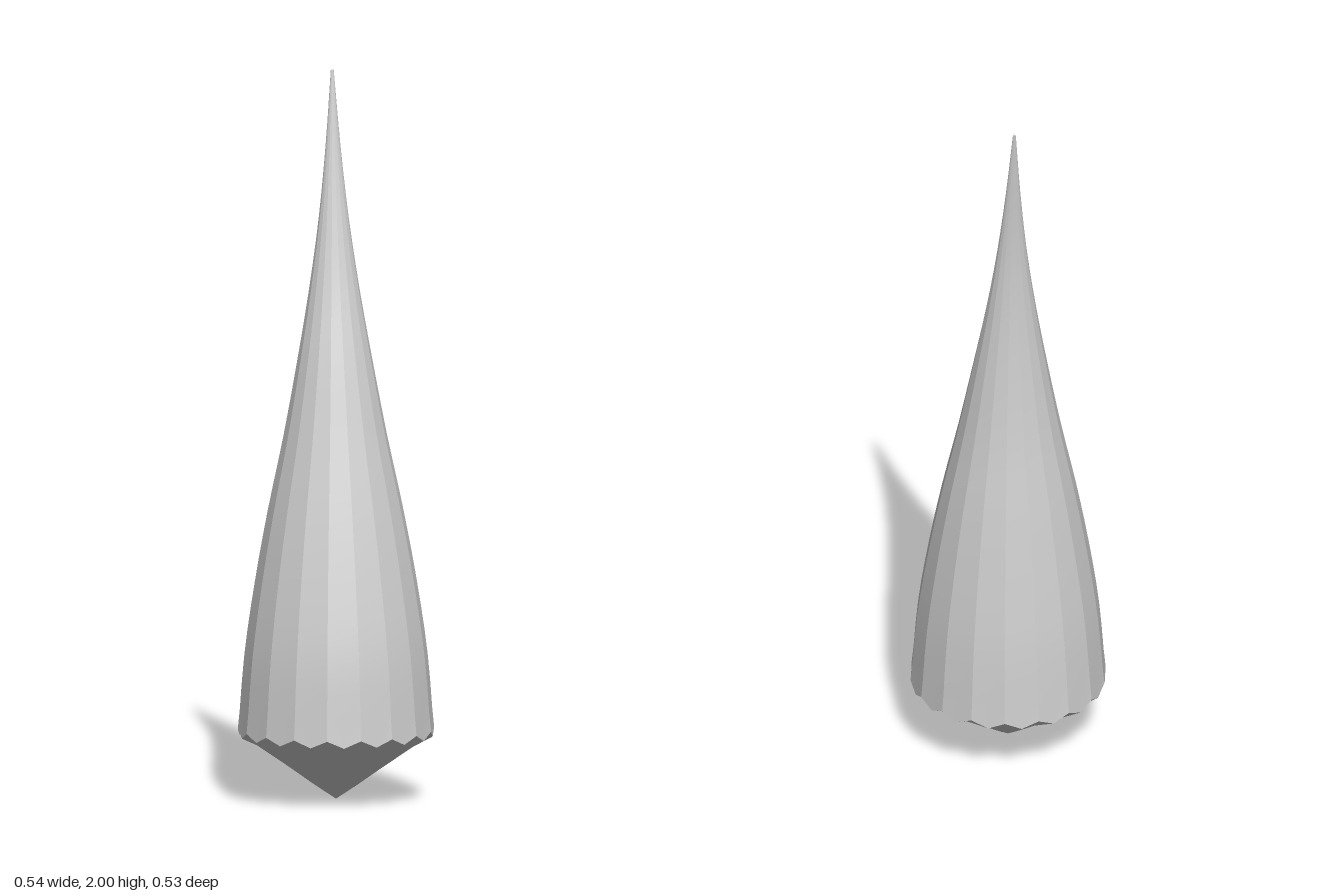
import * as THREE from 'three';

const SIDES = 18;

// Builds a surface from polygonal rings; each ring is { y, rx, rz, cz, wave }.
// Faceted surfaces keep every side as its own strip; smooth ones share vertices.
function loft(rings, faceted) {
  const pos = [], idx = [], sub = 2;
  const corner = (r, i) => {
    const a = (i / SIDES) * Math.PI * 2;
    return [Math.cos(a) * r.rx, Math.sin(a) * r.rz + r.cz];
  };
  const put = (r, side, t) => {
    const p = corner(r, side), q = corner(r, side + 1);
    const mid = Math.sin(t * Math.PI);
    pos.push(p[0] + (q[0] - p[0]) * t, r.y + (r.wave || 0) * (1 - mid), p[1] + (q[1] - p[1]) * t);
  };
  const quad = (a, b, c, d) => idx.push(a, b, c, c, b, d);
  if (faceted) {
    for (let s = 0; s < SIDES; s++) {
      const base = pos.length / 3, w = sub + 1;
      for (const r of rings) for (let k = 0; k <= sub; k++) put(r, s, k / sub);
      for (let j = 0; j < rings.length - 1; j++) for (let k = 0; k < sub; k++) {
        const a = base + j * w + k;
        quad(a, a + w, a + 1, a + w + 1);
      }
    }
  } else {
    const w = SIDES * sub;
    for (const r of rings) for (let i = 0; i < w; i++) put(r, Math.floor(i / sub), (i % sub) / sub);
    for (let j = 0; j < rings.length - 1; j++) for (let i = 0; i < w; i++) {
      const n = (i + 1) % w;
      quad(j * w + i, (j + 1) * w + i, j * w + n, (j + 1) * w + n);
    }
  }
  const g = new THREE.BufferGeometry();
  g.setAttribute('position', new THREE.Float32BufferAttribute(pos, 3));
  g.setIndex(idx);
  g.computeVertexNormals();
  return g;
}

export function createModel() {
  const group = new THREE.Group();
  group.name = 'curvedSpike';
  const grey = new THREE.MeshStandardMaterial({ color: 0xcccccc });
  grey.name = 'pale grey';

  // Spike: y, half width, half depth, backward lean
  const profile = [
    [0.175, 0.27, 0.268, 0], [0.4, 0.252, 0.246, -0.002], [0.6, 0.223, 0.211, -0.008],
    [0.8, 0.186, 0.171, -0.016], [1.0, 0.143, 0.127, -0.025], [1.2, 0.105, 0.088, -0.038],
    [1.4, 0.07, 0.052, -0.056], [1.6, 0.041, 0.027, -0.075], [1.8, 0.02, 0.012, -0.098],
    [2.0, 0.004, 0.003, -0.122],
  ];
  const sizes = new THREE.CatmullRomCurve3(profile.map(p => new THREE.Vector3(p[1], p[0], p[2])));
  const leans = new THREE.CatmullRomCurve3(profile.map(p => new THREE.Vector3(0, p[0], p[3])));
  const rings = [];
  for (let i = 0; i <= 27; i++) {
    const s = sizes.getPoint(i / 27), c = leans.getPoint(i / 27);
    rings.push({ y: s.y, rx: s.x, rz: s.z, cz: c.z, wave: i === 0 ? 0.02 : 0 });
  }
  const spike = new THREE.Mesh(loft(rings, true), grey);
  spike.name = 'spikeShell';
  group.add(spike);

  // Pointed underside meeting the scalloped rim
  const under = [[0, 0.0005], [0.04, 0.06], [0.09, 0.13], [0.152, 0.22], [0.175, 0.27]]
    .map(([y, r], i) => ({ y, rx: r, rz: r * 0.993, cz: 0, wave: i === 4 ? 0.02 : 0 }));
  const base = new THREE.Mesh(loft(under, false), grey);
  base.name = 'pointedBase';
  group.add(base);

  // Small cap closing the tip
  const cap = new THREE.Mesh(new THREE.CircleGeometry(0.0035, SIDES), grey);
  cap.name = 'tipCap';
  cap.rotation.x = -Math.PI / 2;
  cap.position.set(0, 2, -0.122);
  group.add(cap);
  return group;
}
